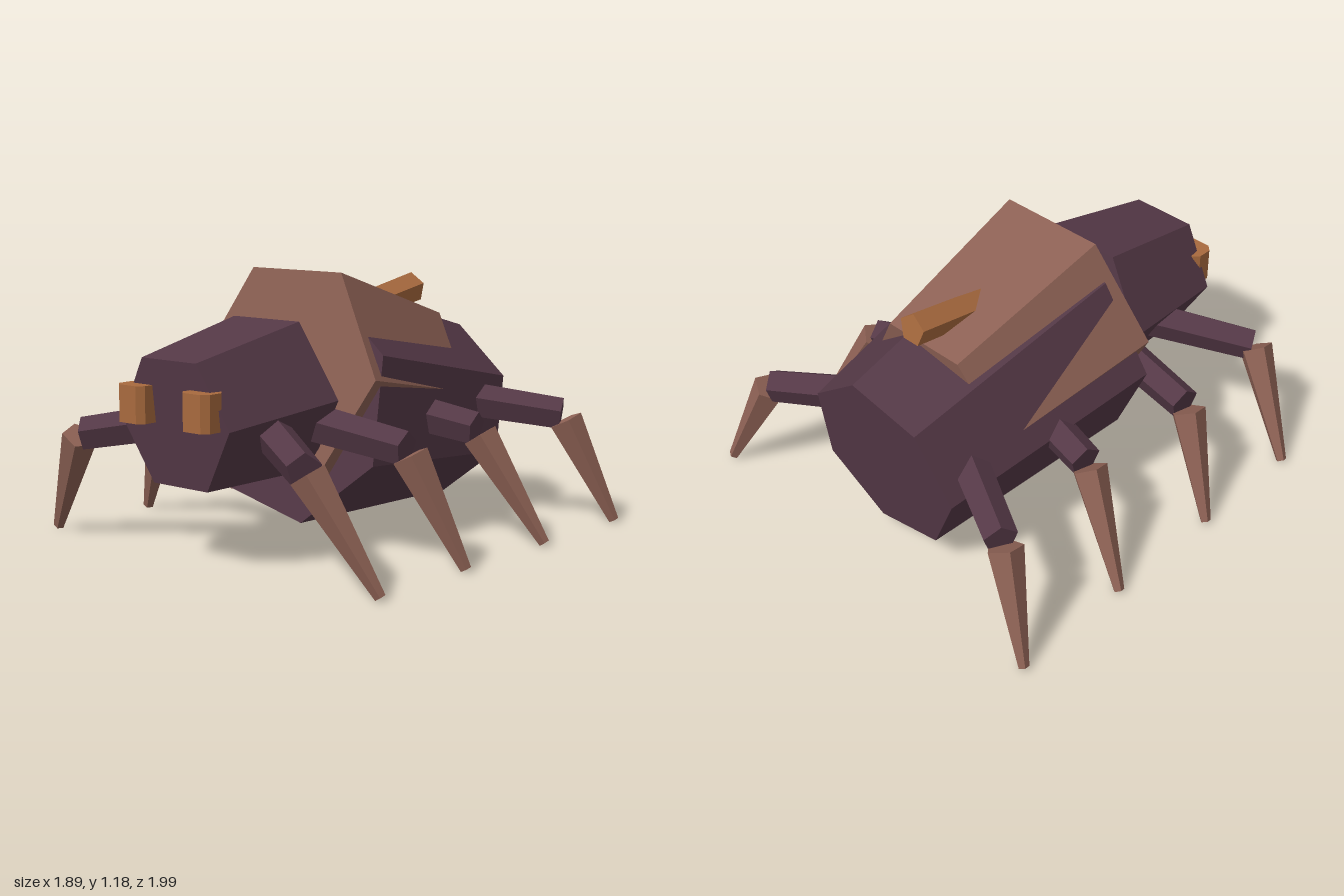
import * as THREE from 'three';

export function createModel() {
  const model = new THREE.Group();
  model.name = 'beetle';
  const material = (name, color) => {
    const m = new THREE.MeshStandardMaterial({ color, flatShading: true });
    m.name = name;
    return m;
  };
  const plum = material('dark plum', 0x543846);
  const brown = material('dusty brown', 0x8d6154);
  const orange = material('burnt orange', 0xa86a3e);

  // Tapered prism running from point a to point b; start turns its corners about the axis
  function prism(name, mat, sides, ra, rb, a, b, start, parent = model) {
    const from = new THREE.Vector3(...a), to = new THREE.Vector3(...b);
    const geo = new THREE.CylinderGeometry(rb, ra, from.distanceTo(to), sides, 1, false, start);
    geo.rotateX(Math.PI / 2);
    const mesh = new THREE.Mesh(geo, mat);
    mesh.name = name;
    mesh.position.copy(from).add(to).multiplyScalar(0.5);
    mesh.lookAt(to);
    parent.add(mesh);
    return mesh;
  }

  // Body: seven-sided abdomen, six-sided shell and head
  prism('abdomen', plum, 7, 0.41, 0.535, [0, 0.47, -0.858], [0, 0.622, 0.203], -Math.PI / 2);
  prism('shell', brown, 6, 0.4, 0.502, [0, 0.612, -0.54], [0, 0.757, 0.245], Math.PI / 2);
  prism('head', plum, 6, 0.37, 0.305, [0, 0.67, 0.325], [0, 0.605, 0.91], Math.PI / 2);

  // Horn rising backwards out of the shell
  prism('horn', orange, 5, 0.071, 0.066, [0, 1.057, -0.66], [0, 0.975, -0.2], Math.PI);

  // Eyes: upright blocks with bevelled corners
  const w = 0.075, d = 0.06, c = 0.027;
  const outline = new THREE.Shape([
    [-w, -d + c], [-w + c, -d], [w - c, -d], [w, -d + c],
    [w, d - c], [w - c, d], [-w + c, d], [-w, d - c],
  ].map(([x, y]) => new THREE.Vector2(x, y)));
  const eyeGeo = new THREE.ExtrudeGeometry(outline, { depth: 0.155, bevelEnabled: false });
  eyeGeo.rotateX(-Math.PI / 2);

  // Legs, front to back: hip, knee and foot positions
  const legs = [
    { hip: [0.18, 0.57, 0.56], knee: [0.63, 0.485, 0.84], foot: 0.74 },
    { hip: [0.2, 0.57, 0.335], knee: [0.69, 0.5, 0.28], foot: 0.185 },
    { hip: [0.2, 0.57, -0.22], knee: [0.63, 0.5, -0.295], foot: -0.395 },
    { hip: [0.2, 0.57, -0.61], knee: [0.7, 0.5, -0.87], foot: -0.975 },
  ];
  for (const side of [1, -1]) {
    const label = side > 0 ? 'left' : 'right';
    const eye = new THREE.Mesh(eyeGeo, orange);
    eye.name = label + 'Eye';
    eye.position.set(0.182 * side, 0.602, 0.935);
    model.add(eye);

    legs.forEach(({ hip, knee, foot }, i) => {
      const leg = new THREE.Group();
      leg.name = `${label}Leg${i + 1}`;
      model.add(leg);
      const flip = ([x, y, z]) => [x * side, y, z];
      prism('upperLeg', plum, 5, 0.085, 0.075, flip(hip), flip(knee), Math.PI, leg);
      const top = [knee[0] + 0.02, 0.475, knee[2]];
      prism('lowerLeg', brown, 5, 0.08, 0.024, flip(top), flip([0.925, 0.02, foot]), Math.PI, leg);
    });
  }
  return model;
}
